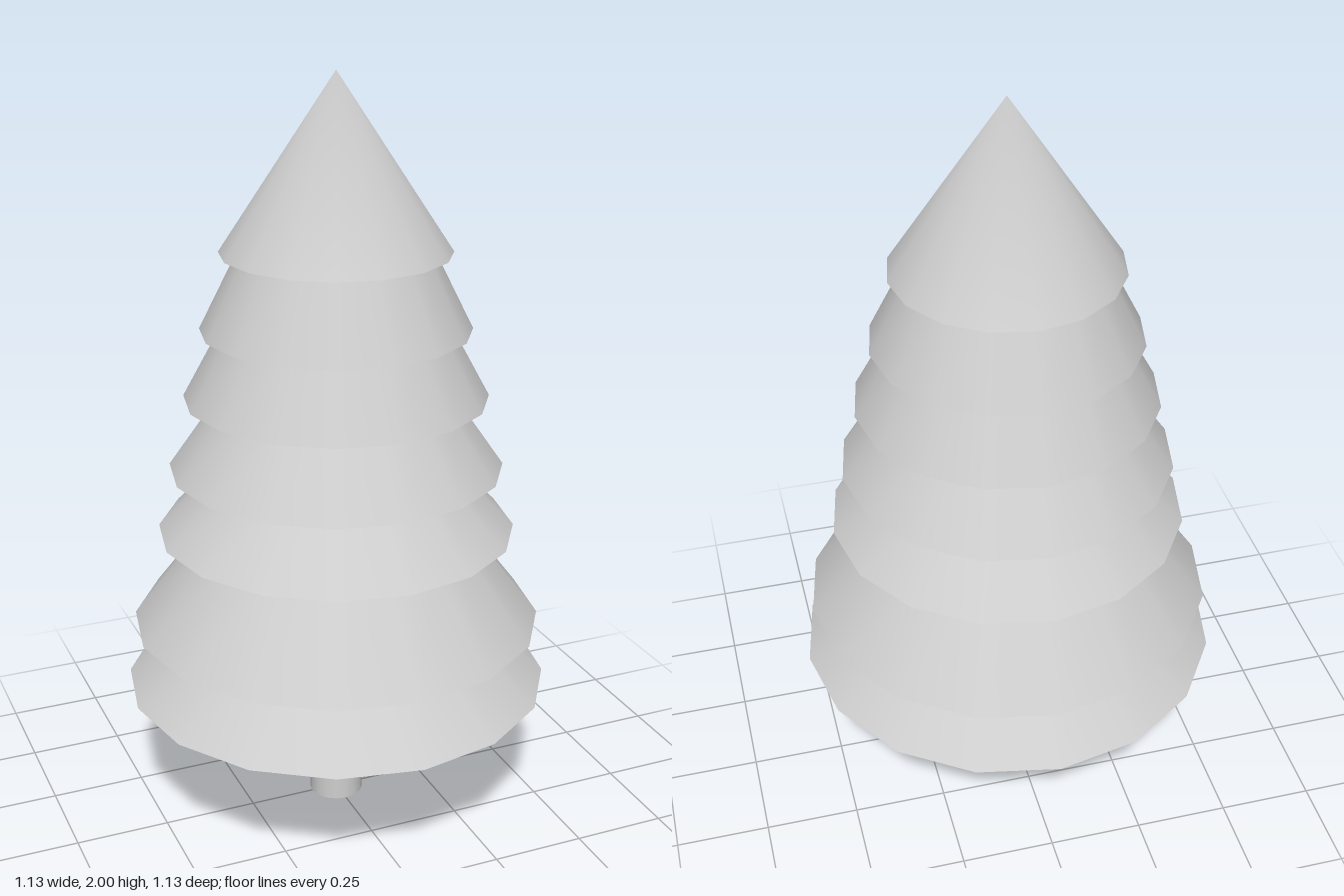
import * as THREE from 'three';

const SIDES = 16;

// A tapered round section between two heights, with smooth sides and flat caps
function frustum(name, y0, y1, r0, r1, material) {
  const geometry = new THREE.CylinderGeometry(r1, r0, y1 - y0, SIDES);
  geometry.translate(0, (y0 + y1) / 2, 0);
  const mesh = new THREE.Mesh(geometry, material);
  mesh.name = name;
  return mesh;
}

export function createModel() {
  const grey = new THREE.MeshStandardMaterial({ color: 0xcccccc });
  grey.name = 'light grey';

  const tree = new THREE.Group();
  tree.name = 'firTree';

  // Trunk, slightly narrower towards the branches
  tree.add(frustum('trunk', 0, 0.38, 0.073, 0.062, grey));

  // Branch tiers: bottom height, bottom radius, top height, top radius
  const tiers = [
    [0.37, 0.567, 0.547, 0.37],
    [0.547, 0.545, 0.805, 0.345],
    [0.805, 0.472, 0.98, 0.3],
    [0.98, 0.438, 1.17, 0.305],
    [1.17, 0.396, 1.35, 0.298],
    [1.35, 0.35, 1.55, 0.25],
  ];
  const overlap = 0.02; // each tier runs a little way into the one above
  const branches = new THREE.Group();
  branches.name = 'branches';
  tiers.forEach(([y0, r0, y1, r1], i) => {
    const taper = (r0 - r1) / (y1 - y0);
    branches.add(frustum(`branchTier${i + 1}`, y0, y1 + overlap, r0, r1 - taper * overlap, grey));
  });

  // Pointed crown, softly shaded towards its tip
  const crown = frustum('crown', 1.55, 2, 0.297, 0, grey);
  const { position, normal } = crown.geometry.attributes;
  for (let i = 0; i < position.count; i++) {
    if (position.getY(i) > 1.99) normal.setXYZ(i, 0, 1, 0);
  }
  branches.add(crown);

  tree.add(branches);
  return tree;
}
